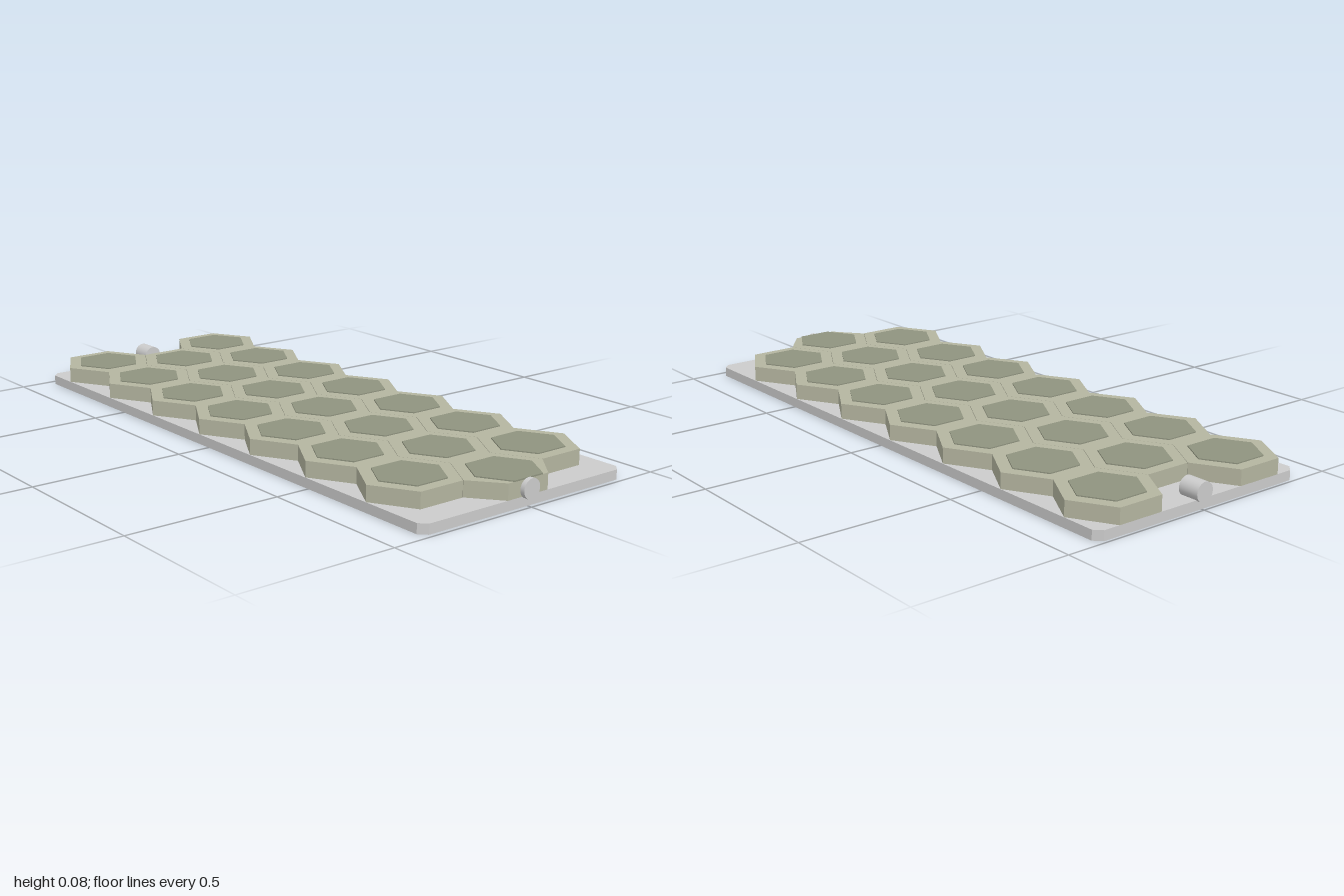
import * as THREE from 'three';

const HEX_R = 0.155, APOTHEM = HEX_R * Math.sqrt(3) / 2, PITCH = APOTHEM * 2;
const FRONT = 0.985, BACK = -0.99, HALF_W = 0.39;

const grey = new THREE.MeshStandardMaterial({ color: 0xcccccc });
const tan = new THREE.MeshStandardMaterial({ color: 0xb4b5a0 });
const olive = new THREE.MeshStandardMaterial({ color: 0x8f937f });

// Flat slab from [x, z] corners, between heights y0 and y1
function slab(points, y0, y1, material, name) {
  const shape = new THREE.Shape(points.map(([x, z]) => new THREE.Vector2(x, -z)));
  const geometry = new THREE.ExtrudeGeometry(shape, { depth: y1 - y0, bevelEnabled: false });
  geometry.rotateX(-Math.PI / 2).translate(0, y0, 0);
  const mesh = new THREE.Mesh(geometry, material);
  mesh.name = name;
  return mesh;
}

// Hexagon corners with points toward +-x, kept behind the front edge of the plate
function hexagon(x, z, r) {
  return Array.from({ length: 6 }, (_, i) => {
    const a = i * Math.PI / 3;
    return [x + r * Math.cos(a), Math.min(z + r * Math.sin(a), FRONT)];
  });
}

export function createModel() {
  const model = new THREE.Group();
  model.name = 'hexTilePanel';

  // Base plate with clipped corners
  const c = 0.023, w = HALF_W;
  model.add(slab([
    [-w, BACK + c], [-w + c, BACK], [w - c, BACK], [w, BACK + c],
    [w, FRONT - c], [w - c, FRONT], [-w + c, FRONT], [-w, FRONT - c],
  ], 0, 0.031, grey, 'basePlate'));

  // Three staggered columns of tiles, each with a slightly raised pad
  const columns = [['right', -0.234, -0.856], ['middle', 0, -0.722], ['left', 0.234, -0.856]];
  for (const [side, x, z0] of columns) {
    const column = new THREE.Group();
    column.name = side + 'TileColumn';
    for (let i = 0; i < 7; i++) {
      const z = z0 + i * PITCH;
      column.add(slab(hexagon(x, z, HEX_R), 0.031, 0.081, tan, 'hexTile'));
      column.add(slab(hexagon(x, z, 0.112), 0.08, 0.0845, olive, 'hexPad'));
    }
    model.add(column);
  }

  // Round connector pins at both ends
  for (const [name, s] of [['frontPin', 1], ['backPin', -1]]) {
    const pin = new THREE.Mesh(new THREE.CylinderGeometry(0.031, 0.031, 0.07, 32), grey);
    pin.rotation.x = Math.PI / 2;
    pin.position.set(0, 0.053, s * 0.965);
    pin.name = name;
    model.add(pin);
  }
  return model;
}
